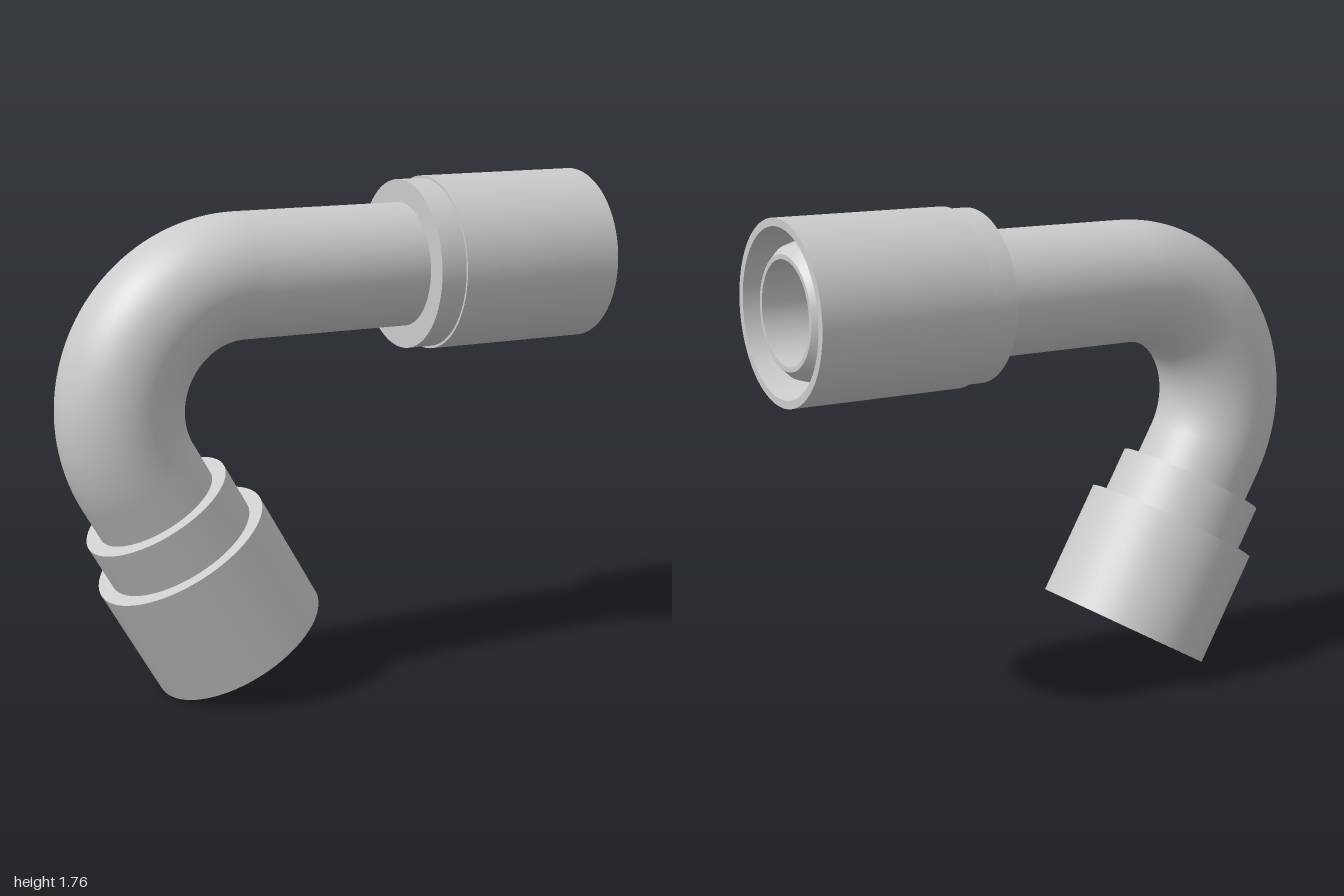
import * as THREE from 'three';
import { toCreasedNormals } from 'three/addons/utils/BufferGeometryUtils.js';

const PIPE_R = 0.218, BORE_R = 0.174, BEND_R = 0.44;
const BEND = new THREE.Vector3(-0.342, 1.013, 0); // centre of the bend
const SWEEP = (120 * Math.PI) / 180;

export function createModel() {
  const model = new THREE.Group();
  const material = new THREE.MeshStandardMaterial({ color: 0xcccccc, side: THREE.DoubleSide });

  function add(parent, name, geometry) {
    const mesh = new THREE.Mesh(geometry, material);
    mesh.name = name;
    parent.add(mesh);
    return mesh;
  }

  // Turned part: points are [radius, distance along the arm]
  function turned(parent, name, points) {
    const profile = points.map(([r, d]) => new THREE.Vector2(r, d));
    return add(parent, name, toCreasedNormals(new THREE.LatheGeometry(profile, 80), 0.3));
  }

  // Arm starting where the bend ends, its local y pointing away from the bend
  function arm(name, endAngle, direction) {
    const group = new THREE.Group();
    group.name = name;
    group.position.set(BEND.x + BEND_R * Math.cos(endAngle), BEND.y + BEND_R * Math.sin(endAngle), 0);
    group.rotation.z = direction - Math.PI / 2;
    model.add(group);
    return group;
  }

  // Bent pipe: outer wall and bore
  for (const [name, r] of [['bendOuter', PIPE_R], ['bendBore', BORE_R]]) {
    const bend = add(model, name, new THREE.TorusGeometry(BEND_R, r, 64, 64, SWEEP));
    bend.position.copy(BEND);
    bend.rotation.z = Math.PI / 2;
  }

  // Straight arm with the sleeved spigot
  const upper = arm('upperArm', Math.PI / 2, 0);
  const end = 1 - BEND.x;
  turned(upper, 'upperPipe', [[PIPE_R, 0], [PIPE_R, end - 0.7]]);
  turned(upper, 'upperBore', [[BORE_R, 0], [BORE_R, end - 0.02]]);
  turned(upper, 'upperSleeve', [
    [PIPE_R, end - 0.715], [0.298, end - 0.715], [0.298, end - 0.62],
    [0.307, end - 0.62], [0.307, end], [0.28, end], [0.25, end - 0.16],
  ]);
  turned(upper, 'spigotNose', [
    [0.25, end - 0.16], [0.218, end - 0.05], [0.19, end - 0.02], [BORE_R, end - 0.02],
  ]);

  // Angled arm with the open socket
  const lower = arm('lowerArm', Math.PI / 2 + SWEEP, -Math.PI / 3);
  turned(lower, 'lowerPipe', [[PIPE_R, 0], [PIPE_R, 0.14]]);
  turned(lower, 'lowerBore', [[BORE_R, 0], [BORE_R, 0.15]]);
  turned(lower, 'lowerSocket', [
    [PIPE_R, 0.127], [0.27, 0.127], [0.27, 0.3], [0.32, 0.3], [0.32, 0.728],
    [0.305, 0.728], [0.305, 0.33], [0.213, 0.33], [0.213, 0.15], [BORE_R, 0.15],
  ]);

  return model;
}
